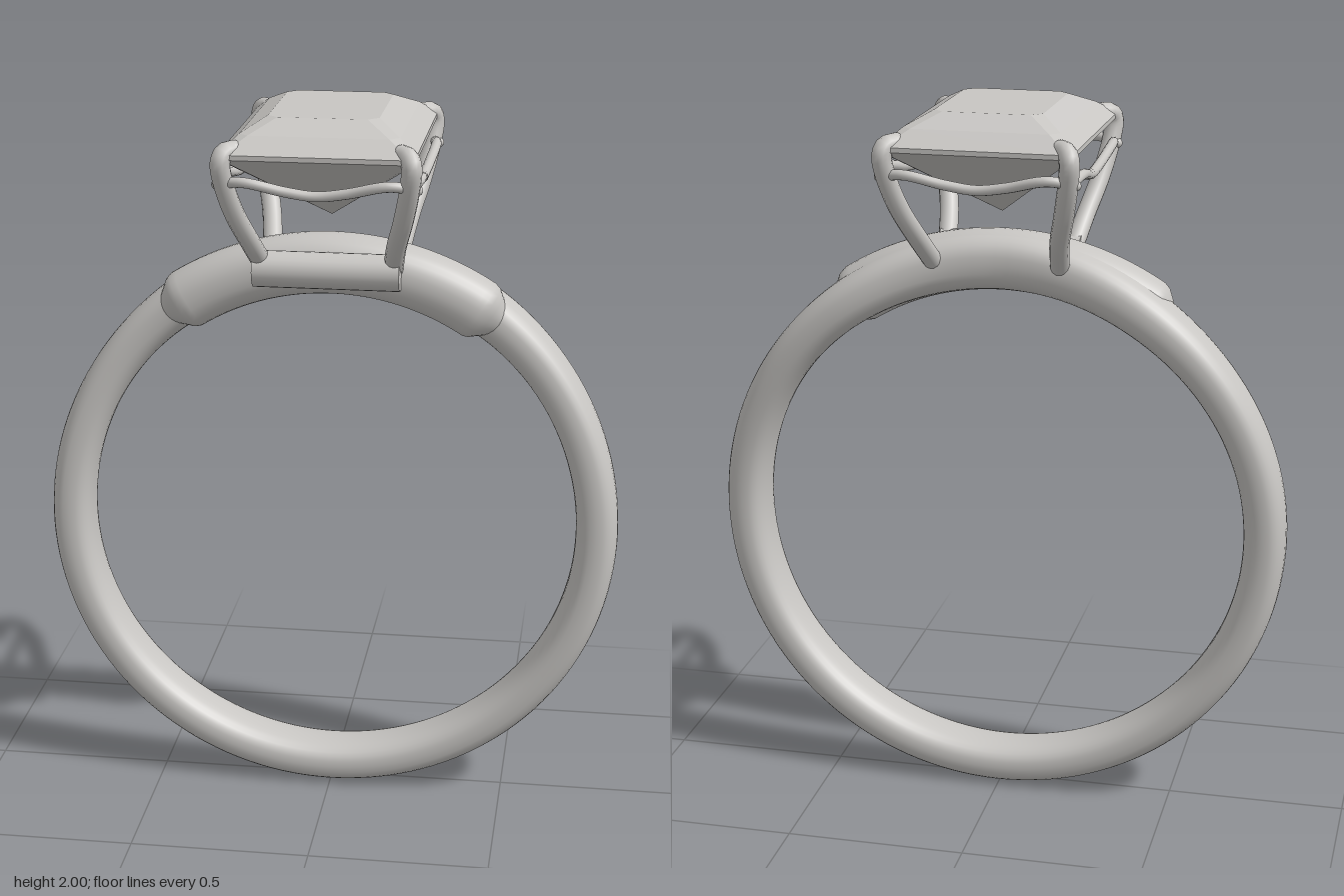
import * as THREE from 'three';

const metal = new THREE.MeshStandardMaterial({ color: 0xc8c6c3 });
metal.name = 'silver grey';
const CY = 0.81; // height of the ring centre

function add(parent, name, geometry) {
  const mesh = new THREE.Mesh(geometry, metal);
  mesh.name = name;
  parent.add(mesh);
  return mesh;
}

// Sweeps a rounded section around the ring; angle 0 is the top.
// section(angle) gives r, z (centre), h, w (half sizes) and p (squareness).
function sweepRing(angles, closed, section) {
  const N = 28, pos = [], idx = [], M = angles.length;
  const power = (v, p) => Math.sign(v) * Math.abs(v) ** p;
  for (const t of angles) {
    const s = section(t);
    for (let j = 0; j < N; j++) {
      const a = (j / N) * Math.PI * 2;
      const r = s.r + s.h * power(Math.cos(a), s.p);
      pos.push(r * Math.sin(t), CY + r * Math.cos(t), s.z + s.w * power(Math.sin(a), s.p));
    }
  }
  for (let i = 0; i < (closed ? M : M - 1); i++) {
    for (let j = 0; j < N; j++) {
      const i2 = (i + 1) % M, j2 = (j + 1) % N;
      const a = i * N + j, b = i * N + j2, c = i2 * N + j, d = i2 * N + j2;
      idx.push(a, b, c, b, d, c);
    }
  }
  const g = new THREE.BufferGeometry();
  g.setAttribute('position', new THREE.Float32BufferAttribute(pos, 3));
  g.setIndex(idx);
  g.computeVertexNormals();
  return g;
}

// Flat-faceted gem from stacked cut-corner rectangles: [y, half x, half z, corner cut]
function gemGeometry(levels) {
  const rings = levels.map(([y, x, z, c]) => [
    [x, z - c], [x - c, z], [c - x, z], [-x, z - c],
    [-x, c - z], [c - x, -z], [x - c, -z], [x, c - z],
  ].map(([px, pz]) => [px, y, pz]));
  const pos = [];
  for (let i = 0; i < rings.length - 1; i++) {
    for (let j = 0; j < 8; j++) {
      const k = (j + 1) % 8;
      const a = rings[i][j], b = rings[i][k], c = rings[i + 1][j], d = rings[i + 1][k];
      if (i > 0) pos.push(...a, ...d, ...b);
      if (i < rings.length - 2) pos.push(...a, ...c, ...d);
      else pos.push(...a, ...c, ...b);
    }
  }
  // first band fans out from the lowest point
  for (let j = 0; j < 8; j++) pos.push(...rings[0][0], ...rings[1][j], ...rings[1][(j + 1) % 8]);
  const g = new THREE.BufferGeometry();
  g.setAttribute('position', new THREE.Float32BufferAttribute(pos, 3));
  g.computeVertexNormals();
  return g;
}

// Round wire through points, with ball ends
function wire(parent, name, points, radius, segments = 32) {
  const pts = points.map((p) => new THREE.Vector3(...p));
  const group = new THREE.Group();
  group.name = name;
  add(group, name + 'Rod', new THREE.TubeGeometry(new THREE.CatmullRomCurve3(pts), segments, radius, 12));
  for (const p of [pts[0], pts[pts.length - 1]]) {
    add(group, name + 'End', new THREE.SphereGeometry(radius, 12, 10)).position.copy(p);
  }
  parent.add(group);
}

export function createModel() {
  const model = new THREE.Group();
  model.name = 'solitaireRing';

  // Band: drifts backward at the shoulders and thickens toward the top
  const loop = Array.from({ length: 144 }, (_, i) => -Math.PI + (i / 144) * Math.PI * 2);
  add(model, 'band', sweepRing(loop, true, (t) => {
    const f = Math.abs(t), spread = f < 0.66 ? 0.4 : 0.65;
    const top = Math.exp(-((f / 0.6) ** 2));
    return {
      r: 0.751 + 0.004 * top,
      h: 0.059 + 0.02 * top,
      z: -0.042 * Math.exp(-(((f - 0.66) / spread) ** 2)),
      w: 0.085,
      p: 0.8,
    };
  }));

  // Collar: thicker arc over the top with pointed ends
  const arc = Array.from({ length: 61 }, (_, i) => -0.68 + (i / 60) * 1.36);
  add(model, 'collar', sweepRing(arc, false, (t) => {
    const k = THREE.MathUtils.clamp((0.68 - Math.abs(t)) / 0.1, 0, 1);
    return { r: 0.755, h: 0.084 * (0.3 + 0.7 * k), z: 0.005 - 0.01 * (1 - k), w: 0.086 * (0.35 + 0.65 * k), p: 0.9 };
  }));

  // Short bar on the front of the collar
  const bar = add(model, 'frontBar', new THREE.CylinderGeometry(0.05, 0.05, 0.4, 24));
  bar.rotation.z = Math.PI / 2;
  bar.position.set(0, 1.568, 0.105);

  // Gem: pavilion, girdle, two crown steps and table
  add(model, 'gem', gemGeometry([
    [1.7, 0, 0, 0],
    [1.912, 0.256, 0.328, 0.012],
    [1.925, 0.256, 0.328, 0.012],
    [1.966, 0.21, 0.27, 0.025],
    [2.0, 0.147, 0.19, 0.028],
    [2.0, 0, 0, 0],
  ]));

  // Four claws hooked over the gem corners
  for (const sx of [-1, 1]) {
    for (const sz of [-1, 1]) {
      wire(model, 'claw', [
        [0.178, 1.575, 0.085], [0.196, 1.66, 0.18], [0.223, 1.755, 0.258],
        [0.243, 1.85, 0.307], [0.248, 1.905, 0.32], [0.24, 1.926, 0.308], [0.22, 1.93, 0.285],
      ].map(([x, y, z]) => [x * sx, y, z * sz]), 0.027, 40);
    }
  }

  // Gallery wires sagging between the claws
  for (const s of [-1, 1]) {
    wire(model, 'galleryWireLong', [
      [0.25, 1.845, -0.3], [0.262, 1.855, -0.22], [0.255, 1.83, -0.09], [0.25, 1.818, 0],
      [0.255, 1.83, 0.09], [0.262, 1.855, 0.22], [0.25, 1.845, 0.3],
    ].map(([x, y, z]) => [x * s, y, z]), 0.014);
    wire(model, 'galleryWireShort', [
      [-0.262, 1.842, 0.298], [-0.19, 1.855, 0.326], [-0.08, 1.83, 0.312], [0, 1.819, 0.306],
      [0.08, 1.83, 0.312], [0.19, 1.855, 0.326], [0.262, 1.842, 0.298],
    ].map(([x, y, z]) => [x, y, z * s]), 0.014);
  }
  return model;
}
